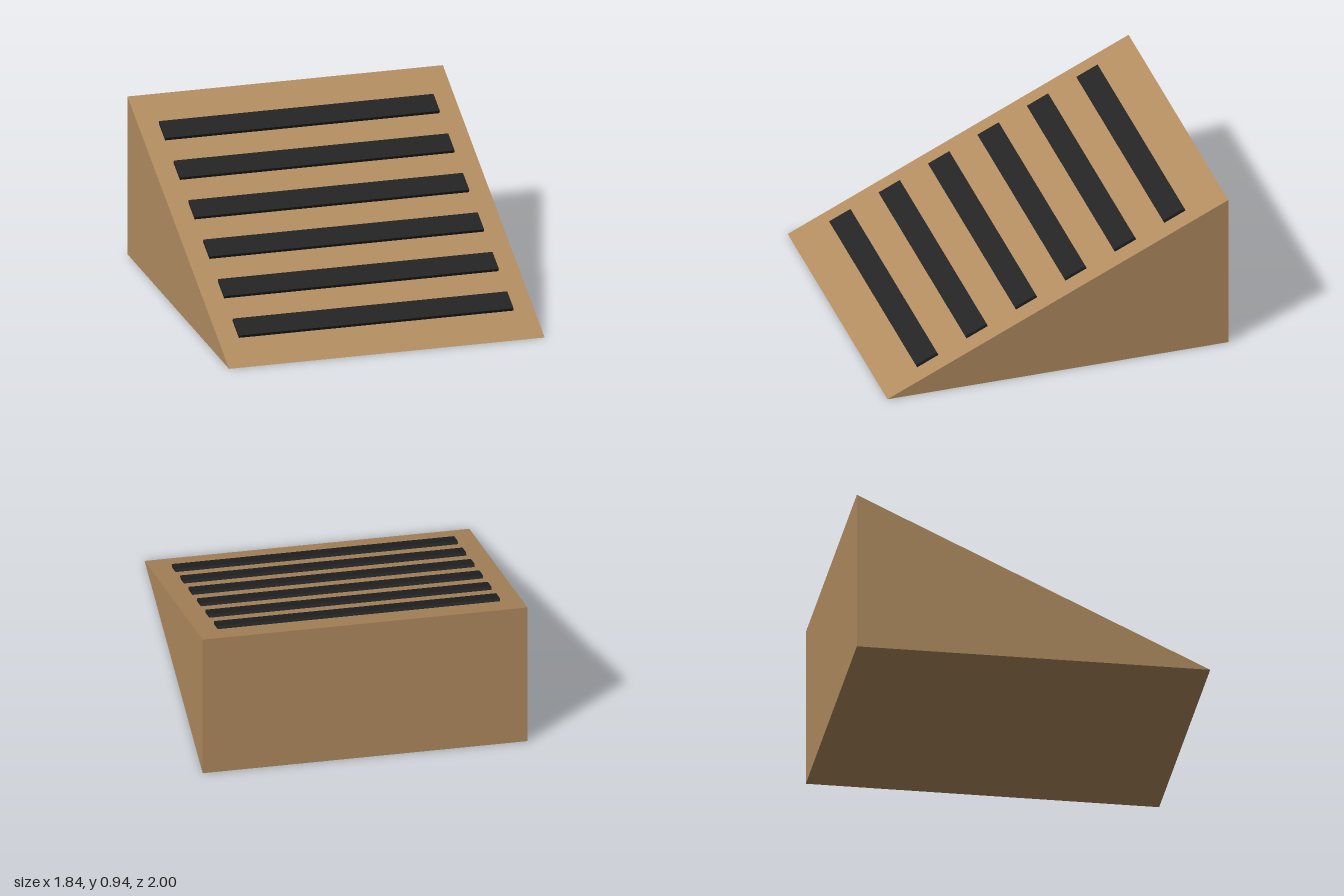
import * as THREE from 'three';

export function createModel() {
  const model = new THREE.Group();
  model.name = 'ramp';

  const wood = new THREE.MeshStandardMaterial({ color: 0xb38d60 });
  wood.name = 'tan wood';
  const rubber = new THREE.MeshStandardMaterial({ color: 0x232323 });
  rubber.name = 'black grip';

  const width = 1.84, height = 0.935, depth = 2;

  // Wedge: side profile (shape x becomes -z) extruded across the width
  const profile = new THREE.Shape([
    new THREE.Vector2(-depth / 2, 0),
    new THREE.Vector2(depth / 2, 0),
    new THREE.Vector2(depth / 2, height),
  ]);
  const wedgeGeometry = new THREE.ExtrudeGeometry(profile, { depth: width, bevelEnabled: false });
  wedgeGeometry.translate(0, 0, -width / 2).rotateY(Math.PI / 2);
  const wedge = new THREE.Mesh(wedgeGeometry, wood);
  wedge.name = 'wedge';
  model.add(wedge);

  // Slope frame: tilted to the ramp surface, origin at its middle
  const angle = Math.atan2(height, depth);
  const slope = new THREE.Group();
  slope.name = 'gripStrips';
  slope.position.y = height / 2;
  slope.rotation.x = angle;
  model.add(slope);

  // Six evenly spaced grip strips lying on the slope
  const thickness = 0.018;
  const stripGeometry = new THREE.BoxGeometry(1.6, thickness, 0.138);
  for (let i = 0; i < 6; i++) {
    const strip = new THREE.Mesh(stripGeometry, rubber);
    strip.name = `gripStrip${i + 1}`;
    strip.position.set(0, thickness / 2, (2.5 - i) * 0.29 / Math.cos(angle));
    slope.add(strip);
  }

  return model;
}
